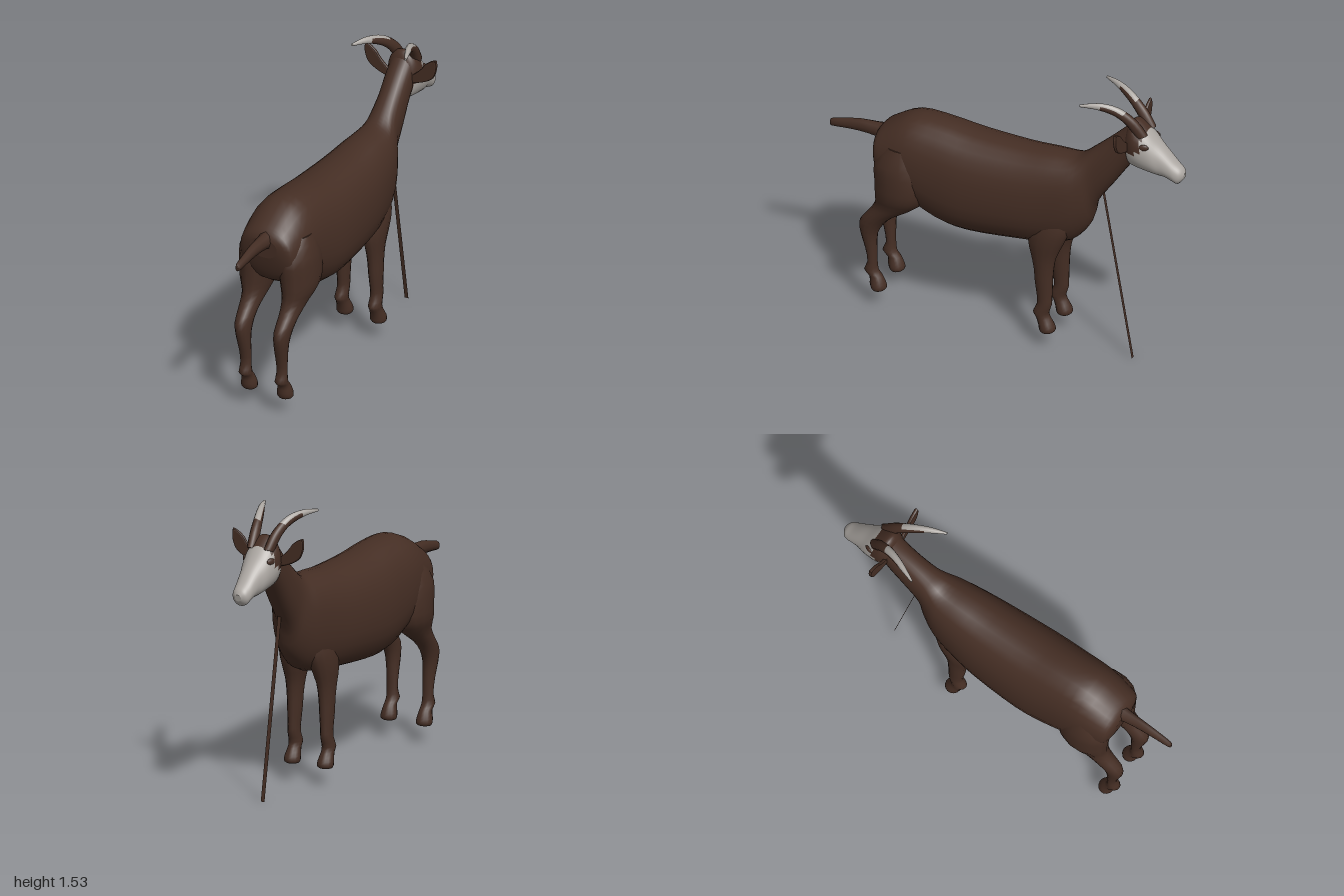
import * as THREE from 'three';

const brown = new THREE.MeshStandardMaterial({ color: 0x452e24, side: THREE.DoubleSide });
brown.name = 'brownCoat';
const white = new THREE.MeshStandardMaterial({ color: 0xaca7a2 });
white.name = 'paleFace';

// Catmull-Rom resampling of the control rings
function smoothRows(rows, sub) {
  const out = [], n = rows.length;
  for (let i = 0; i < n - 1; i++) {
    const p = [rows[Math.max(i - 1, 0)], rows[i], rows[i + 1], rows[Math.min(i + 2, n - 1)]];
    for (let s = 0; s < sub; s++) {
      const t = s / sub;
      out.push(p[1].map((b, k) => {
        const a = p[0][k], c = p[2][k], d = p[3][k];
        return b + 0.5 * t * (c - a + t * (2 * a - 5 * b + 4 * c - d + t * (3 * (b - c) + d - a)));
      }));
    }
  }
  out.push(rows[n - 1]);
  return out;
}

// Skin over rings [z1, y1, z2, y2, halfWidth, centreX, pear]: each ring spans two points of the
// side profile, and pear widens its lower half. pick(x, y, z, j) gives the material index of a face.
function loft(name, rows, { segs = 20, sub = 3, power = 2, pick = () => 0 } = {}) {
  const rings = smoothRows(rows, sub), pos = [], tris = [[], []];
  const bulge = v => Math.sign(v) * Math.abs(v) ** (2 / power);
  const addRing = ([z1, y1, z2, y2, w, cx, pear = 0]) => {
    for (let j = 0; j < segs; j++) {
      const a = (j / segs) * Math.PI * 2, c = bulge(Math.cos(a)), s = bulge(Math.sin(a));
      pos.push(cx + w * s * (1 - pear * c), (y1 + y2) / 2 + c * (y1 - y2) / 2, (z1 + z2) / 2 + c * (z1 - z2) / 2);
    }
  };
  rings.forEach(addRing);
  // flip when the rings run the other way round
  const f = rings[0], l = rings[rings.length - 1];
  const dz = l[0] + l[2] - f[0] - f[2], dy = l[1] + l[3] - f[1] - f[3];
  const m = rings[rings.length >> 1];
  const flip = (m[1] - m[3]) * dz - (m[0] - m[2]) * dy > 0;
  const tri = (a, b, c, g) => tris[g].push(...(flip ? [a, c, b] : [a, b, c]));
  for (let i = 0; i < rings.length - 1; i++) {
    for (let j = 0; j < segs; j++) {
      const k = (j + 1) % segs, a = i * segs + j, b = i * segs + k, c = a + segs, d = b + segs;
      const mid = q => (pos[a * 3 + q] + pos[b * 3 + q] + pos[c * 3 + q] + pos[d * 3 + q]) / 4;
      const g = pick(mid(0), mid(1), mid(2), j / segs);
      tri(a, b, c, g);
      tri(b, d, c, g);
    }
  }
  // closed ends
  [f, l].forEach((r, e) => {
    const base = pos.length / 3;
    addRing(r);
    pos.push(r[5], (r[1] + r[3]) / 2, (r[0] + r[2]) / 2);
    const g = pick(r[5], (r[1] + r[3]) / 2, (r[0] + r[2]) / 2, 0);
    for (let j = 0; j < segs; j++) {
      const a = base + j, b = base + (j + 1) % segs;
      if (e) tri(a, b, base + segs, g); else tri(b, a, base + segs, g);
    }
  });
  const geo = new THREE.BufferGeometry();
  geo.setAttribute('position', new THREE.Float32BufferAttribute(pos, 3));
  geo.setIndex([...tris[0], ...tris[1]]);
  geo.addGroup(0, tris[0].length, 0);
  geo.addGroup(tris[0].length, tris[1].length, 1);
  geo.computeVertexNormals();
  const mesh = new THREE.Mesh(geo, [brown, white]);
  mesh.name = name;
  return mesh;
}

// Leg from [y, zBack, zFront, halfWidth, centreX] rows
function leg(name, rows, side) {
  return loft(name, rows.map(([y, zb, zf, w, cx]) => [zb, y, zf, y, w, cx * side]), { segs: 14, sub: 2 });
}

export function createModel() {
  const goat = new THREE.Group();
  goat.name = 'goat';
  const body = new THREE.Group();
  body.name = 'body';
  body.position.x = 0.01;
  const head = new THREE.Group();
  head.name = 'headGroup';
  head.position.x = -0.01;
  goat.add(body, head);

  // Trunk and neck in one skin
  body.add(loft('trunkAndNeck', [
    [0.715, 0.99, 0.71, 0.88, 0.08, 0, 0],
    [0.70, 1.02, 0.69, 0.80, 0.138, 0, 0.02],
    [0.655, 1.06, 0.65, 0.73, 0.165, 0, 0.05],
    [0.52, 1.133, 0.52, 0.66, 0.188, 0, 0.06],
    [0.35, 1.135, 0.35, 0.575, 0.199, 0, 0.06],
    [0.16, 1.115, 0.18, 0.552, 0.206, 0, 0.06],
    [-0.10, 1.11, -0.08, 0.572, 0.192, 0, 0.05],
    [-0.27, 1.122, -0.24, 0.588, 0.17, 0, 0],
    [-0.38, 1.13, -0.38, 0.625, 0.143, 0, -0.08],
    [-0.435, 1.15, -0.475, 0.735, 0.11, 0, -0.12],
    [-0.49, 1.195, -0.51, 0.87, 0.087, -0.005, -0.08],
    [-0.57, 1.265, -0.60, 1.005, 0.078, -0.012, 0],
    [-0.65, 1.34, -0.685, 1.13, 0.075, -0.02, 0],
    [-0.70, 1.395, -0.73, 1.19, 0.073, -0.02, 0],
  ], { segs: 28, power: 2.25 }));

  // Tail
  goat.add(loft('tail', [
    [0.66, 1.03, 0.66, 0.91, 0.05, 0.015],
    [0.73, 1.02, 0.73, 0.935, 0.034, 0.018],
    [0.83, 1.015, 0.83, 0.94, 0.025, 0.02],
    [0.92, 0.994, 0.92, 0.936, 0.02, 0.022],
    [0.985, 0.977, 0.985, 0.93, 0.015, 0.023],
    [0.998, 0.965, 0.998, 0.937, 0.006, 0.023],
  ], { segs: 8, sub: 2 }));

  // Legs, with dewclaws and hooves shaped by the lowest rings
  const hind = [
    [0.98, 0.62, 0.46, 0.05, 0.12],
    [0.88, 0.69, 0.41, 0.09, 0.113],
    [0.78, 0.69, 0.39, 0.097, 0.112],
    [0.69, 0.685, 0.41, 0.087, 0.117],
    [0.62, 0.69, 0.48, 0.062, 0.113],
    [0.555, 0.73, 0.58, 0.049, 0.113],
    [0.49, 0.777, 0.645, 0.043, 0.111],
    [0.42, 0.773, 0.68, 0.038, 0.108],
    [0.33, 0.748, 0.685, 0.032, 0.104],
    [0.25, 0.735, 0.685, 0.03, 0.103],
    [0.20, 0.755, 0.678, 0.034, 0.102],
    [0.17, 0.725, 0.655, 0.033, 0.102],
    [0.13, 0.722, 0.637, 0.042, 0.102],
    [0.105, 0.716, 0.634, 0.043, 0.102],
    [0.094, 0.708, 0.645, 0.036, 0.102],
  ];
  const fore = [
    [0.84, -0.23, -0.38, 0.035, 0.08],
    [0.72, -0.18, -0.395, 0.062, 0.084],
    [0.62, -0.165, -0.36, 0.06, 0.088],
    [0.54, -0.183, -0.325, 0.046, 0.093],
    [0.46, -0.20, -0.31, 0.039, 0.095],
    [0.38, -0.207, -0.305, 0.036, 0.096],
    [0.30, -0.218, -0.302, 0.031, 0.097],
    [0.25, -0.22, -0.30, 0.031, 0.098],
    [0.20, -0.198, -0.285, 0.034, 0.099],
    [0.17, -0.215, -0.295, 0.033, 0.099],
    [0.13, -0.23, -0.316, 0.042, 0.099],
    [0.105, -0.234, -0.32, 0.043, 0.099],
    [0.094, -0.242, -0.31, 0.036, 0.099],
  ];
  for (const side of [1, -1]) {
    const label = side > 0 ? 'Left' : 'Right';
    const hindLeg = leg('hindLeg' + label, hind, side);
    hindLeg.position.x = side > 0 ? 0.008 : 0;
    body.add(hindLeg, leg('foreLeg' + label, fore, side));
  }

  // Head: pale mask with a brown crown and cheeks beside the ears
  head.add(loft('head', [
    [-0.685, 1.37, -0.695, 1.17, 0.066, 0],
    [-0.705, 1.41, -0.71, 1.15, 0.082, 0],
    [-0.735, 1.42, -0.77, 1.14, 0.094, 0],
    [-0.795, 1.375, -0.85, 1.128, 0.084, 0],
    [-0.85, 1.318, -0.90, 1.123, 0.066, 0],
    [-0.90, 1.27, -0.94, 1.108, 0.056, 0],
    [-0.95, 1.22, -0.965, 1.10, 0.05, 0],
    [-0.985, 1.19, -0.98, 1.112, 0.04, 0],
    [-1.0, 1.165, -0.994, 1.13, 0.018, 0],
  ], {
    segs: 32, sub: 4, power: 2.1,
    pick: (x, y, z) => (z > -0.70 || (y > 1.265 && z > -0.782) || (y > 1.35 && z > -0.79) ? 0 : 1),
  }));

  for (const side of [1, -1]) {
    const label = side > 0 ? 'Left' : 'Right';

    // Swept horn: pale tip and upper ridge, brown root
    head.add(loft('horn' + label, [
      [-0.81, 1.365, -0.75, 1.34, 0.025, 0.05 * side],
      [-0.76, 1.435, -0.71, 1.40, 0.026, 0.06 * side],
      [-0.70, 1.487, -0.665, 1.445, 0.024, 0.075 * side],
      [-0.635, 1.52, -0.615, 1.475, 0.021, 0.096 * side],
      [-0.56, 1.532, -0.555, 1.497, 0.016, 0.125 * side],
      [-0.48, 1.522, -0.48, 1.508, 0.006, 0.158 * side],
    ], { segs: 12, pick: (x, y, z, j) => (z > -0.58 || (z > -0.70 && (j < 0.16 || j > 0.8)) ? 1 : 0) }));

    // Leaf-shaped ear
    const leaf = new THREE.Shape();
    leaf.moveTo(0.07, 1.295);
    leaf.quadraticCurveTo(0.12, 1.33, 0.148, 1.375);
    leaf.quadraticCurveTo(0.175, 1.402, 0.203, 1.412);
    leaf.quadraticCurveTo(0.212, 1.365, 0.185, 1.32);
    leaf.quadraticCurveTo(0.15, 1.285, 0.07, 1.265);
    const earGeo = new THREE.ExtrudeGeometry(leaf, {
      depth: 0.004, bevelThickness: 0.008, bevelSize: 0.008, bevelSegments: 2, curveSegments: 6,
    });
    const ear = new THREE.Mesh(earGeo, brown);
    ear.name = 'ear' + label;
    ear.position.z = -0.705;
    if (side < 0) {
      ear.rotation.y = Math.PI;
      ear.position.z = -0.701;
    }
    head.add(ear);

    // Eye
    const eye = new THREE.Mesh(new THREE.SphereGeometry(1, 12, 8), brown);
    eye.name = 'eye' + label;
    eye.scale.set(0.01, 0.018, 0.026);
    eye.position.set(0.077 * side, 1.305, -0.802);
    eye.rotation.y = 0.3 * side;
    head.add(eye);
  }

  // Flat tether hanging from the neck to the ground
  const tether = new THREE.Mesh(new THREE.PlaneGeometry(0.022, Math.hypot(0.98, 0.17)), brown);
  tether.name = 'tether';
  tether.position.set(0.016, 0.49, -0.63);
  tether.rotation.x = Math.atan2(0.17, 0.98);
  goat.add(tether);

  return goat;
}
